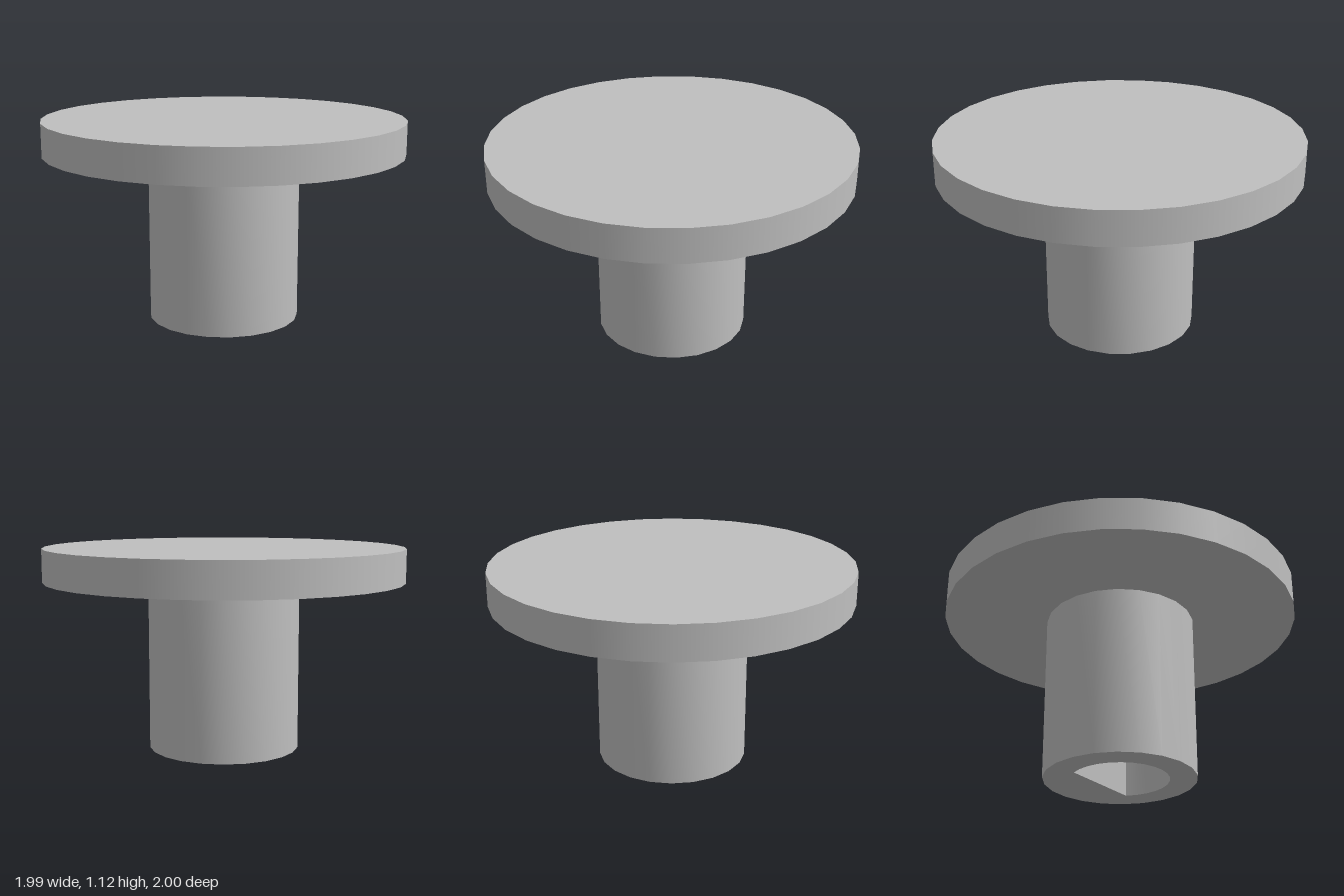
import * as THREE from 'three';
import { toCreasedNormals } from 'three/addons/utils/BufferGeometryUtils.js';

const DISC_BOTTOM = 0.94, DISC_TOP = 1.125;

// Points along an arc, ends included
function arc(radius, start, end, steps) {
  return Array.from({ length: steps + 1 }, (_, i) => {
    const a = start + ((end - start) * i) / steps;
    return new THREE.Vector2(radius * Math.cos(a), radius * Math.sin(a));
  });
}

export function createModel() {
  const group = new THREE.Group();
  const grey = new THREE.MeshStandardMaterial({ color: 0xbfbfbf });
  grey.name = 'grey';

  // Flat round head
  const height = DISC_TOP - DISC_BOTTOM;
  const head = new THREE.Mesh(new THREE.CylinderGeometry(1, 1, height, 32), grey);
  head.name = 'headDisc';
  head.scale.x = 0.994;
  head.position.y = DISC_BOTTOM + height / 2;
  group.add(head);

  // Round stem with a D-shaped socket open at the bottom
  const outline = new THREE.Shape(arc(0.42, Math.PI / 2, Math.PI * 2.5, 22).slice(0, -1));
  const socketRadius = 0.27, flatDistance = 0.13;
  const flatAngle = THREE.MathUtils.degToRad(48);
  const half = Math.acos(flatDistance / socketRadius);
  outline.holes.push(new THREE.Path(
    arc(socketRadius, flatAngle + half, flatAngle + Math.PI * 2 - half, 18)));
  const stemGeometry = new THREE.ExtrudeGeometry(outline, { depth: DISC_BOTTOM, bevelEnabled: false });
  stemGeometry.rotateX(-Math.PI / 2);
  const stem = new THREE.Mesh(toCreasedNormals(stemGeometry, 0.6), grey);
  stem.name = 'socketStem';
  group.add(stem);

  return group;
}
